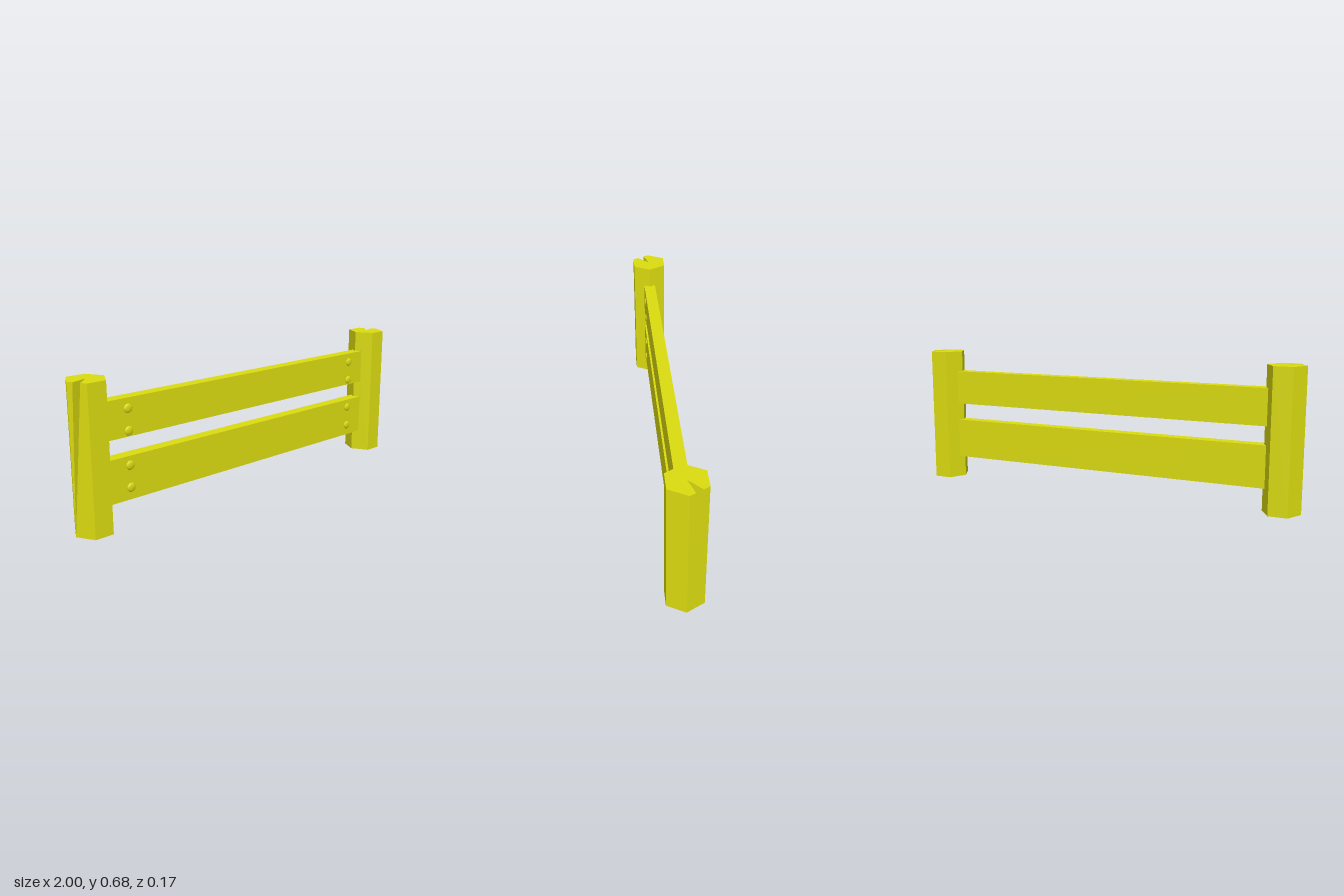
import * as THREE from 'three';

const POST_H = 0.68;

// Hollow six-sided post, open below, with a split tapering down one face
function postGeometry() {
  const bottom = [], top = [];
  for (let i = 0; i < 6; i++) {
    const a = i * Math.PI / 3;
    const x = 0.09 * Math.cos(a), z = 0.097 * Math.sin(a);
    bottom.push(new THREE.Vector3(x, 0, z));
    top.push(new THREE.Vector3(x, POST_H, z));
  }
  const tris = [];
  const add = (...points) => tris.push(...points);
  const core = new THREE.Vector3(0, POST_H, 0);
  const splitA = top[0].clone().lerp(top[5], 0.3);
  const splitB = top[0].clone().lerp(top[5], 0.68);

  // Five plain sides with their slices of the top
  for (let i = 0; i < 5; i++) {
    add(bottom[i], top[i], top[i + 1], bottom[i], top[i + 1], bottom[i + 1]);
    add(core, top[i + 1], top[i]);
  }
  // Split side: the two outer remnants, their top slices, the split's walls
  add(bottom[5], top[5], splitB, bottom[5], splitB, bottom[0]);
  add(bottom[0], splitA, top[0]);
  add(core, splitB, top[5], core, top[0], splitA);
  add(bottom[0], core, splitA, bottom[0], splitB, core);

  const geometry = new THREE.BufferGeometry().setFromPoints(tris);
  geometry.computeVertexNormals();
  return geometry;
}

export function createModel() {
  const model = new THREE.Group();
  model.name = 'fence';
  const wood = new THREE.MeshStandardMaterial({ color: 0xdcdc10, side: THREE.DoubleSide });
  wood.name = 'yellow wood';

  const add = (name, geometry, x, y, z) => {
    const mesh = new THREE.Mesh(geometry, wood);
    mesh.name = name;
    mesh.position.set(x, y, z);
    model.add(mesh);
    return mesh;
  };

  // Posts, one turned half round so both splits face outwards
  const post = postGeometry();
  add('leftPost', post, 0.91, 0, 0);
  add('rightPost', post, -0.91, 0, 0).rotation.y = Math.PI;

  // Rails, ending inside the posts
  add('upperRail', new THREE.BoxGeometry(1.7, 0.174, 0.06), 0, 0.488, 0.002);
  add('lowerRail', new THREE.BoxGeometry(1.7, 0.202, 0.06), 0, 0.212, 0.002);

  // Low domed nail heads on the front of the rails
  const nail = new THREE.SphereGeometry(0.022, 12, 4, 0, Math.PI * 2, 0, Math.PI / 2);
  nail.rotateX(Math.PI / 2);
  nail.scale(1, 1, 0.35);
  for (const x of [-0.73, 0.73]) {
    for (const y of [0.167, 0.27, 0.427, 0.527]) add('nailHead', nail, x, y, 0.032);
  }
  return model;
}
